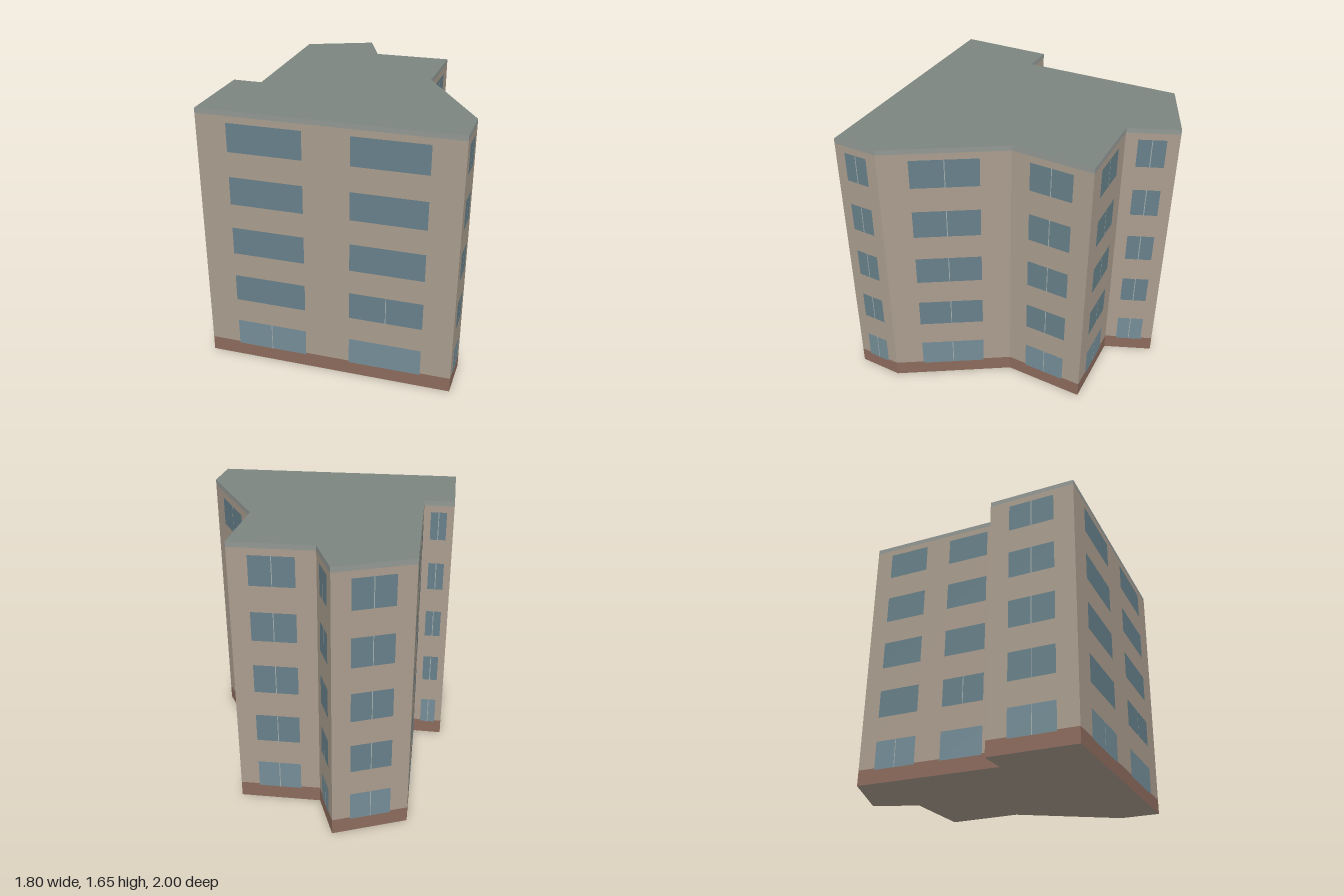
import * as THREE from 'three';

// Footprint corners (x, z), running anticlockwise as seen from above
const CORNERS = [
  [-0.9, 0], [0.27, 0.995], [0.45, 0.8], [0.57, 0.09], [0.897, -0.26],
  [0.53, -0.57], [0.626, -0.855], [0.2, -1], [-0.405, -0.29], [-0.54, -0.41],
];
const HEIGHT = 1.65, BASE = 0.095, TRIM = 0.03;
const FLOORS = 5, STOREY = 0.33, SILL = 0.085, WINDOW_H = 0.175;

const mat = (color) => new THREE.MeshStandardMaterial({ color });
const MATS = {
  wall: mat(0xaa9d8e), base: mat(0x8d6b5d), trim: mat(0x929894), roof: mat(0x7d8581),
  glass: mat(0x678089), groundGlass: mat(0x748d97), mullion: mat(0xa3adad),
};

// Upright rectangle in the local frame of a facade (x along the wall, z outwards)
function panel(name, material, width, height, x, y, z) {
  const mesh = new THREE.Mesh(new THREE.PlaneGeometry(width, height), material);
  mesh.name = name;
  mesh.position.set(x, y + height / 2, z);
  return mesh;
}

// One facade between two corners: plinth, wall, roof edge and its windows
function makeFacade([x0, z0], [x1, z1]) {
  const facade = new THREE.Group();
  facade.name = 'facade';
  const length = Math.hypot(x1 - x0, z1 - z0);
  facade.position.set((x0 + x1) / 2, 0, (z0 + z1) / 2);
  facade.rotation.y = Math.atan2(z0 - z1, x1 - x0);

  facade.add(
    panel('plinth', MATS.base, length, BASE, 0, 0, 0),
    panel('wall', MATS.wall, length, HEIGHT - BASE - TRIM, 0, BASE, 0),
    panel('roofEdge', MATS.trim, length, TRIM, 0, HEIGHT - TRIM, 0),
  );

  // Long facades carry two window bays, the others a single one
  const long = length > 0.8;
  const bays = long ? [-0.235, 0.235] : [0];
  const width = length * (long ? 0.29 : 0.53);
  for (let floor = 0; floor < FLOORS; floor++) {
    const y = SILL + floor * STOREY;
    const glass = floor === 0 ? MATS.groundGlass : MATS.glass;
    bays.forEach((bay, i) => {
      facade.add(panel('window', glass, width, WINDOW_H, bay * length, y, 0.002));
      // Upper windows of the long facades are mostly undivided
      if (!long || floor === i) {
        facade.add(panel('mullion', MATS.mullion, 0.005, WINDOW_H, bay * length, y, 0.003));
      }
    });
  }
  return facade;
}

// Horizontal slab face in the shape of the footprint
function makeCap(name, material, y, facingUp) {
  const s = facingUp ? -1 : 1;
  const shape = new THREE.Shape(CORNERS.map(([x, z]) => new THREE.Vector2(x, s * z)));
  const geometry = new THREE.ShapeGeometry(shape).rotateX(s * Math.PI / 2);
  const mesh = new THREE.Mesh(geometry, material);
  mesh.name = name;
  mesh.position.y = y;
  return mesh;
}

export function createModel() {
  const building = new THREE.Group();
  building.name = 'apartmentBlock';
  CORNERS.forEach((corner, i) => {
    building.add(makeFacade(corner, CORNERS[(i + 1) % CORNERS.length]));
  });
  building.add(makeCap('roof', MATS.roof, HEIGHT, true));
  building.add(makeCap('underside', MATS.wall, 0, false));
  return building;
}
